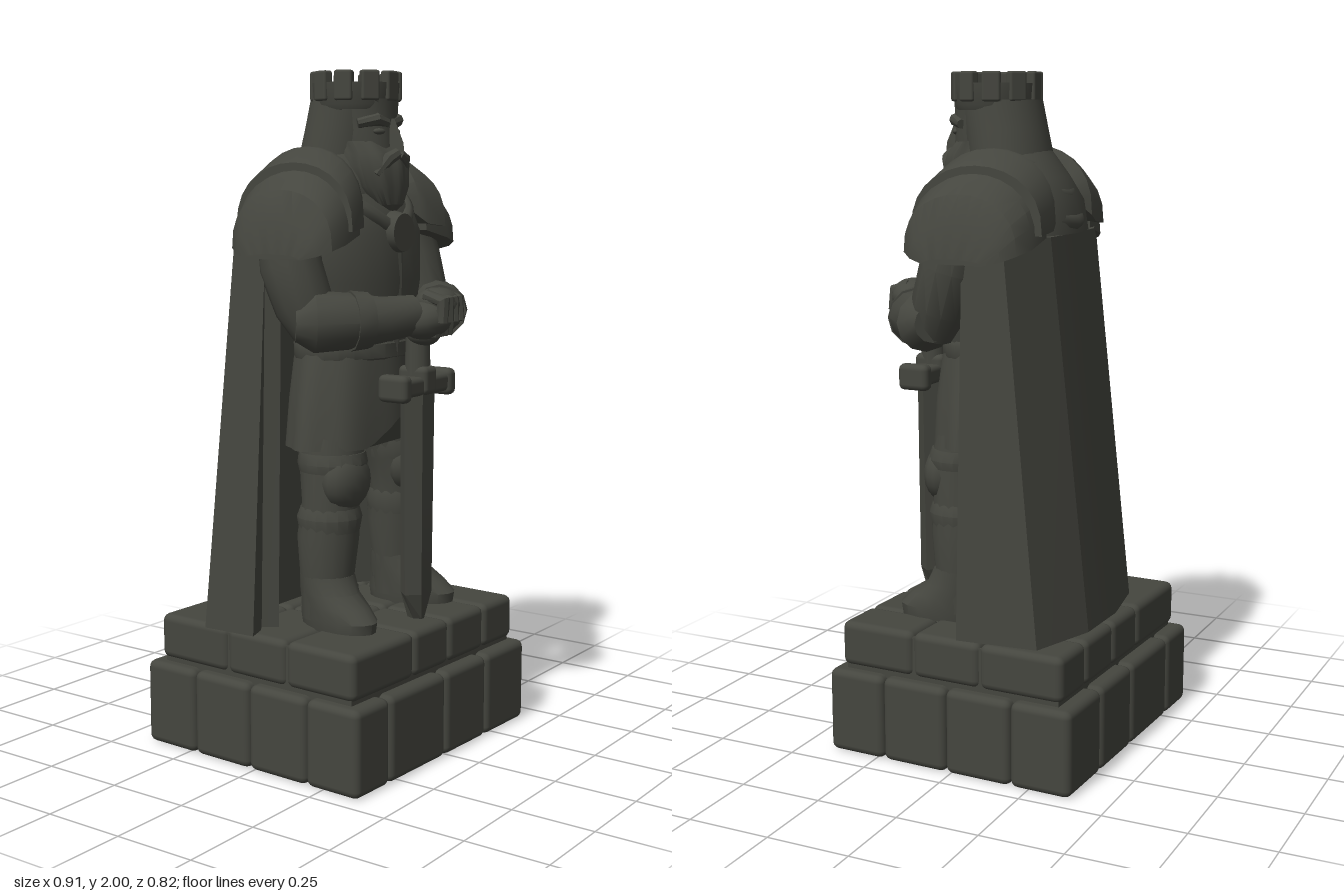
import * as THREE from 'three';
import { toCreasedNormals } from 'three/addons/utils/BufferGeometryUtils.js';
import { RoundedBoxGeometry } from 'three/addons/geometries/RoundedBoxGeometry.js';

const stone = new THREE.MeshStandardMaterial({ color: 0x45463f });
stone.name = 'darkStone';
const V = (x, y, z) => new THREE.Vector3(x, y, z);

// Closed skin over a list of equal-length point loops, always facing outward
function loft(rings, crease = 0.6) {
  const n = rings[0].length, pts = rings.flat(), idx = [];
  for (let i = 0; i < rings.length - 1; i++)
    for (let j = 0; j < n; j++) {
      const a = i * n + j, b = i * n + (j + 1) % n;
      idx.push(a, b, a + n, b, b + n, a + n);
    }
  // caps are triangulated so concave loops work too
  [0, rings.length - 1].forEach((r) => {
    const ring = rings[r], nrm = V(0, 0, 0);
    ring.forEach((p, j) => nrm.add(p.clone().cross(ring[(j + 1) % n])));
    if (nrm.length() < 1e-7) return;
    const q = new THREE.Quaternion().setFromUnitVectors(nrm.normalize(), V(0, 0, 1));
    const flat = ring.map((p) => { const t = p.clone().applyQuaternion(q); return new THREE.Vector2(t.x, t.y); });
    THREE.ShapeUtils.triangulateShape(flat, []).forEach(([a, b, c]) => {
      const o = r * n;
      r ? idx.push(o + a, o + b, o + c) : idx.push(o + a, o + c, o + b);
    });
  });
  let vol = 0;
  for (let i = 0; i < idx.length; i += 3)
    vol += pts[idx[i]].dot(pts[idx[i + 1]].clone().cross(pts[idx[i + 2]]));
  if (vol < 0) idx.reverse();
  const g = new THREE.BufferGeometry().setFromPoints(pts);
  g.setIndex(idx);
  return toCreasedNormals(g.toNonIndexed(), crease);
}

// Stacked ellipses: [y, centreX, centreZ, radiusX, radiusZ]
function stack(rows, n = 20, shape = () => 1, crease) {
  return loft(rows.map(([y, cx, cz, rx, rz], i) => Array.from({ length: n }, (_, j) => {
    const a = (j / n) * Math.PI * 2, k = shape(a, i);
    return V(cx + Math.sin(a) * rx * k, y, cz + Math.cos(a) * rz * k);
  })), crease);
}

// Tapered limb through points [x, y, z, radius]
function limb(rows, n = 12) {
  const p = rows.map((r) => V(r[0], r[1], r[2]));
  return loft(p.map((c, i) => {
    const t = p[Math.min(i + 1, p.length - 1)].clone().sub(p[Math.max(i - 1, 0)]).normalize();
    const u = V(0, 0, 1).cross(t).normalize(), w = t.clone().cross(u);
    return Array.from({ length: n }, (_, j) => {
      const a = (j / n) * Math.PI * 2;
      return c.clone().addScaledVector(u, Math.cos(a) * rows[i][3]).addScaledVector(w, Math.sin(a) * rows[i][3]);
    });
  }));
}

const ball = (rx, ry, rz) => new THREE.SphereGeometry(1, 16, 10).scale(rx, ry, rz);

export function createModel() {
  const model = new THREE.Group();
  const add = (name, geo, pos = [0, 0, 0], rot = [0, 0, 0], parent = model) => {
    const m = new THREE.Mesh(geo, stone);
    m.name = name;
    m.position.set(...pos);
    m.rotation.set(...rot);
    parent.add(m);
  };

  // Two-tier plinth of rounded blocks, turned very slightly
  const plinth = new THREE.Group();
  plinth.name = 'plinth';
  plinth.rotation.y = -0.035;
  model.add(plinth);
  const tier = (name, xs, zs, y0, y1) => {
    for (let i = 0; i < xs.length - 1; i++)
      for (let k = 0; k < zs.length - 1; k++)
        add(name, new RoundedBoxGeometry(xs[i + 1] - xs[i], y1 - y0, zs[k + 1] - zs[k], 2, 0.022),
          [(xs[i] + xs[i + 1]) / 2, (y0 + y1) / 2, (zs[k] + zs[k + 1]) / 2], [0, 0, 0], plinth);
  };
  tier('lowerBlock', [-0.44, -0.28, 0, 0.22, 0.44], [-0.4, -0.21, 0, 0.21, 0.395], 0, 0.255);
  tier('upperBlock', [-0.415, -0.12, 0.06, 0.25, 0.415], [-0.363, -0.1, 0.12, 0.363], 0.265, 0.4);
  add('plinthCore', new THREE.BoxGeometry(0.81, 0.36, 0.7), [0, 0.205, 0], [0, 0, 0], plinth);

  // Cape: hollow sheet with thick front folds
  const inner = [[0.36, -0.02], [0.33, -0.04], [0.3, 0.0], [0.29, -0.07], [0.18, -0.15], [-0.18, -0.15],
    [-0.29, -0.07], [-0.31, 0.0], [-0.34, -0.04], [-0.37, -0.02]];
  const hem = [[-0.43, 0], [-0.44, -0.17], [-0.22, -0.295], [-0.02, -0.33], [0.18, -0.325], [0.39, -0.255], [0.41, -0.01]];
  const top = [[-0.36, 0], [-0.36, -0.11], [-0.18, -0.18], [0, -0.2], [0.17, -0.195], [0.35, -0.13], [0.36, -0.01]];
  add('cape', loft([
    [...hem, ...inner].map(([x, z]) => V(x, 0.4, z)),
    [...top, ...inner.map(([x, z]) => [x * 0.93, z * 0.9])].map(([x, z]) => V(x, 1.54, z)),
  ], 0.2));

  // Torso, belt and pleated skirt
  add('torso', stack([[1.12, 0, 0.05, 0.2, 0.14], [1.25, 0, 0.05, 0.215, 0.155], [1.4, 0, 0.04, 0.26, 0.178],
    [1.54, 0, 0.025, 0.28, 0.185], [1.62, 0, 0.01, 0.25, 0.175], [1.7, 0, 0, 0.18, 0.13]]));
  add('breastRidge', limb([[0, 1.18, 0.185, 0.02], [0, 1.4, 0.2, 0.02], [0, 1.54, 0.195, 0.02]], 8));
  add('belt', stack([[1.17, 0, 0.05, 0.212, 0.148], [1.18, 0, 0.05, 0.217, 0.155], [1.22, 0, 0.05, 0.217, 0.155], [1.23, 0, 0.05, 0.212, 0.148]], 24));
  const skirt = stack([[0.92, 0, 0.055, 0.272, 0.155], [1.06, 0, 0.055, 0.25, 0.155], [1.2, 0, 0.05, 0.212, 0.15]],
    48, (a, i) => 1 + (0.03 - i * 0.01) * Math.cos(a * 8), 0.5);
  const sp = skirt.attributes.position;
  for (let i = 0; i < sp.count; i++)
    if (sp.getY(i) < 1) sp.setY(i, sp.getY(i) + 0.08 * Math.max(0, 1 - Math.abs(sp.getX(i)) / 0.12));
  add('skirt', toCreasedNormals(skirt, 0.5));

  // Mantle with draped folds, and its round clasp
  add('mantle', stack([[1.54, 0, -0.03, 0.27, 0.175], [1.63, 0, -0.015, 0.25, 0.18], [1.7, 0, 0, 0.19, 0.16],
    [1.76, 0, 0.01, 0.14, 0.13], [1.8, 0, 0.02, 0.11, 0.11]], 24));
  [[0.14, 1.72, 0.09], [0.17, 1.655, 0.13], [0.2, 1.58, 0.155]].forEach(([w, y, d]) => {
    const c = new THREE.CatmullRomCurve3([V(-w * 0.95, y + 0.025, 0), V(-w * 0.7, y + 0.015, -d * 0.75),
      V(0, y - 0.01, -d - 0.03), V(w * 0.7, y + 0.015, -d * 0.75), V(w * 0.95, y + 0.025, 0)]);
    add('mantleFold', new THREE.TubeGeometry(c, 16, 0.028, 8));
  });
  add('mantleFrontFold', new THREE.TubeGeometry(new THREE.CatmullRomCurve3([V(-0.17, 1.68, 0.06), V(-0.1, 1.6, 0.165),
    V(0, 1.55, 0.195), V(0.1, 1.6, 0.165), V(0.17, 1.68, 0.06)]), 20, 0.025, 8));
  add('clasp', toCreasedNormals(new THREE.CylinderGeometry(0.055, 0.064, 0.04, 20).toNonIndexed(), 0.5), [0, 1.54, 0.207], [Math.PI / 2, 0, 0]);

  // Layered shoulder plate: stations [x, top, bottom, half depth, centre z]
  const plate = (s, rows) => loft(rows.map(([x, t, b, rz, cz]) => Array.from({ length: 15 }, (_, j) => {
    const a = (j / 14) * Math.PI;
    return V(s * x, b + (t - b) * Math.pow(Math.max(0, Math.sin(a)), 0.8), cz + Math.cos(a) * rz + (s < 0 ? 0.015 + x * 0.1 : 0));
  })), 0.55);

  for (const s of [1, -1]) {
    add('innerShoulderPlate', plate(s, [[0.135, 1.71, 1.62, 0.15, -0.02], [0.17, 1.785, 1.58, 0.19, -0.02],
      [0.195, 1.785, 1.56, 0.2, -0.015], [0.275, 1.74, 1.55, 0.205, -0.01]]));
    add('outerShoulderPlate', plate(s, [[0.2, 1.74, 1.54, 0.185, -0.01], [0.3, 1.71, 1.515, 0.192, -0.005],
      [0.355, 1.665, 1.5, 0.175, 0.0], [0.385, 1.58, 1.485, 0.14, 0.0], [0.405, 1.49, 1.475, 0.095, 0.0]]));
    // Arm and cuff
    add('upperArm', limb([[s * 0.29, 1.58, 0.02, 0.09], [s * 0.31, 1.45, 0.05, 0.09], [s * 0.3, 1.34, 0.09, 0.085], [s * 0.29, 1.26, 0.12, 0.06]]));
    add('forearm', limb([[s * 0.345, 1.3, 0.09, 0.055], [s * 0.31, 1.3, 0.13, 0.088], [s * 0.24, 1.3, 0.2, 0.08],
      [s * 0.15, 1.3, 0.25, 0.066], [s * 0.06, 1.31, 0.3, 0.058]]));
    add('cuff', limb([[s * 0.235, 1.3, 0.2, 0.086], [s * 0.19, 1.3, 0.23, 0.08]]));

    // Leg with knee guard, greave and boot
    add('leg', limb([[s * 0.14, 1.0, 0.06, 0.1], [s * 0.165, 0.86, 0.09, 0.097], [s * 0.175, 0.76, 0.09, 0.085],
      [s * 0.18, 0.66, 0.085, 0.092], [s * 0.185, 0.54, 0.085, 0.08], [s * 0.185, 0.42, 0.085, 0.075]], 16));
    add('kneeGuard', ball(0.092, 0.09, 0.062), [s * 0.17, 0.83, 0.14]);
    add('kneeBand', stack([[0.855, s * 0.165, 0.09, 0.098, 0.098], [0.88, s * 0.165, 0.09, 0.103, 0.103], [0.91, s * 0.16, 0.085, 0.098, 0.098]], 18));
    add('greaveTop', stack([[0.68, s * 0.178, 0.088, 0.088, 0.09], [0.72, s * 0.178, 0.088, 0.095, 0.097], [0.75, s * 0.176, 0.088, 0.085, 0.087]], 18));
    add('boot', stack([[0.395, 0, 0.05, 0.075, 0.135], [0.43, 0, 0.05, 0.08, 0.14], [0.465, 0, 0.035, 0.078, 0.12],
      [0.5, 0, 0.01, 0.08, 0.095], [0.55, 0, 0, 0.08, 0.082]], 18), [s * 0.185, 0, 0.085], [0, s * 0.2, 0]);
  }

  // Hands folded one over the other on the pommel
  add('lowerHand', ball(0.08, 0.055, 0.065), [-0.035, 1.295, 0.325], [0, -0.5, 0.15]);
  add('upperHand', ball(0.085, 0.05, 0.07), [0.025, 1.335, 0.325], [0, 0.5, -0.15]);
  for (let i = 0; i < 4; i++) {
    add('upperFinger', limb([[0.055 - i * 0.03, 1.365, 0.325, 0.018], [0.05 - i * 0.03, 1.35, 0.375 + 0.004 * i, 0.021],
      [0.045 - i * 0.03, 1.29, 0.385, 0.018]], 8));
    add('lowerFinger', limb([[0.035 - i * 0.025, 1.3, 0.36, 0.018], [0.03 - i * 0.022, 1.25, 0.355, 0.016]], 8));
  }

  // Sword standing point down
  const sword = new THREE.Group();
  sword.name = 'sword';
  sword.position.set(0.008, 0, 0.27);
  model.add(sword);
  add('blade', loft([[0.4, 0.015, 0.025], [0.48, 0.06, 0.037], [0.8, 0.066, 0.038], [1.1, 0.07, 0.039]].map(([y, w, d]) =>
    [[-w, 0], [-w * 0.45, d], [w * 0.45, d], [w, 0], [w * 0.45, -d], [-w * 0.45, -d]].map(([x, z]) => V(x, y, z))), 0.2), [0, 0, 0], [0, 0, 0], sword);
  add('guard', new RoundedBoxGeometry(0.25, 0.055, 0.085, 2, 0.015), [0, 1.1, 0], [0, 0, 0], sword);
  for (const s of [1, -1]) add('guardEnd', new RoundedBoxGeometry(0.045, 0.08, 0.1, 2, 0.018), [s * 0.118, 1.1, 0], [0, 0, 0], sword);
  add('guardCentre', new RoundedBoxGeometry(0.07, 0.085, 0.1, 2, 0.018), [0, 1.115, 0], [0, 0, 0], sword);
  add('grip', new THREE.CylinderGeometry(0.034, 0.038, 0.14, 12), [0, 1.2, 0], [0, 0, 0], sword);
  add('pommel', ball(0.05, 0.035, 0.05), [0, 1.25, 0.02], [0, 0, 0], sword);

  // Head: long hair flaring to the shoulders, face and beard
  add('hair', stack([[1.68, 0, 0.0, 0.15, 0.125], [1.76, 0, 0.01, 0.142, 0.122], [1.84, 0, 0.025, 0.128, 0.122],
    [1.92, 0, 0.042, 0.118, 0.124]], 24));
  add('face', stack([[1.7, 0, 0.09, 0.08, 0.09], [1.77, 0, 0.09, 0.095, 0.097], [1.83, 0, 0.085, 0.095, 0.095], [1.92, 0, 0.07, 0.105, 0.115]], 20));
  add('nose', loft([[1.77, 0.026, 0.224], [1.795, 0.022, 0.222], [1.865, 0.013, 0.19]].map(([y, w, z]) => [V(-w, y, 0.15), V(0, y, z), V(w, y, 0.15)]), 0.2));
  add('beard', stack([[1.6, 0, 0.165, 0.025, 0.025], [1.62, 0, 0.155, 0.06, 0.052], [1.67, 0, 0.135, 0.098, 0.08],
    [1.73, 0, 0.12, 0.112, 0.092], [1.765, 0, 0.11, 0.108, 0.09], [1.8, 0, 0.09, 0.105, 0.08]], 50, (a) => 1 + 0.035 * Math.cos(a * 10), 0.5));
  for (const s of [1, -1]) {
    add('brow', limb([[s * 0.012, 1.852, 0.17, 0.016], [s * 0.05, 1.862, 0.166, 0.019], [s * 0.092, 1.85, 0.125, 0.014]], 8));
    add('eye', ball(0.02, 0.009, 0.01), [s * 0.045, 1.828, 0.168], [0, s * 0.4, 0]);
    add('moustache', limb([[s * 0.004, 1.765, 0.202, 0.017], [s * 0.04, 1.75, 0.196, 0.02], [s * 0.075, 1.705, 0.178, 0.012]], 8));
  }

  // Crown with a shallow top and merlons
  const crown = new THREE.Group();
  crown.name = 'crown';
  crown.position.set(0, 0, 0.055);
  model.add(crown);
  const band = [[0, 1.89], [0.118, 1.89], [0.124, 1.905], [0.129, 1.967], [0.105, 1.967], [0.103, 1.955], [0, 1.955]];
  add('crownBand', toCreasedNormals(new THREE.LatheGeometry(band.map(([x, y]) => new THREE.Vector2(x, y)), 30).toNonIndexed(), 0.5), [0, 0, 0], [0, 0, 0], crown);
  for (let i = 0; i < 10; i++) {
    const a = (i / 10) * Math.PI * 2;
    add('merlon', new RoundedBoxGeometry(0.054, 0.085, 0.03, 2, 0.007), [Math.sin(a) * 0.118, 1.9575, Math.cos(a) * 0.118], [0, a, 0], crown);
  }
  return model;
}
